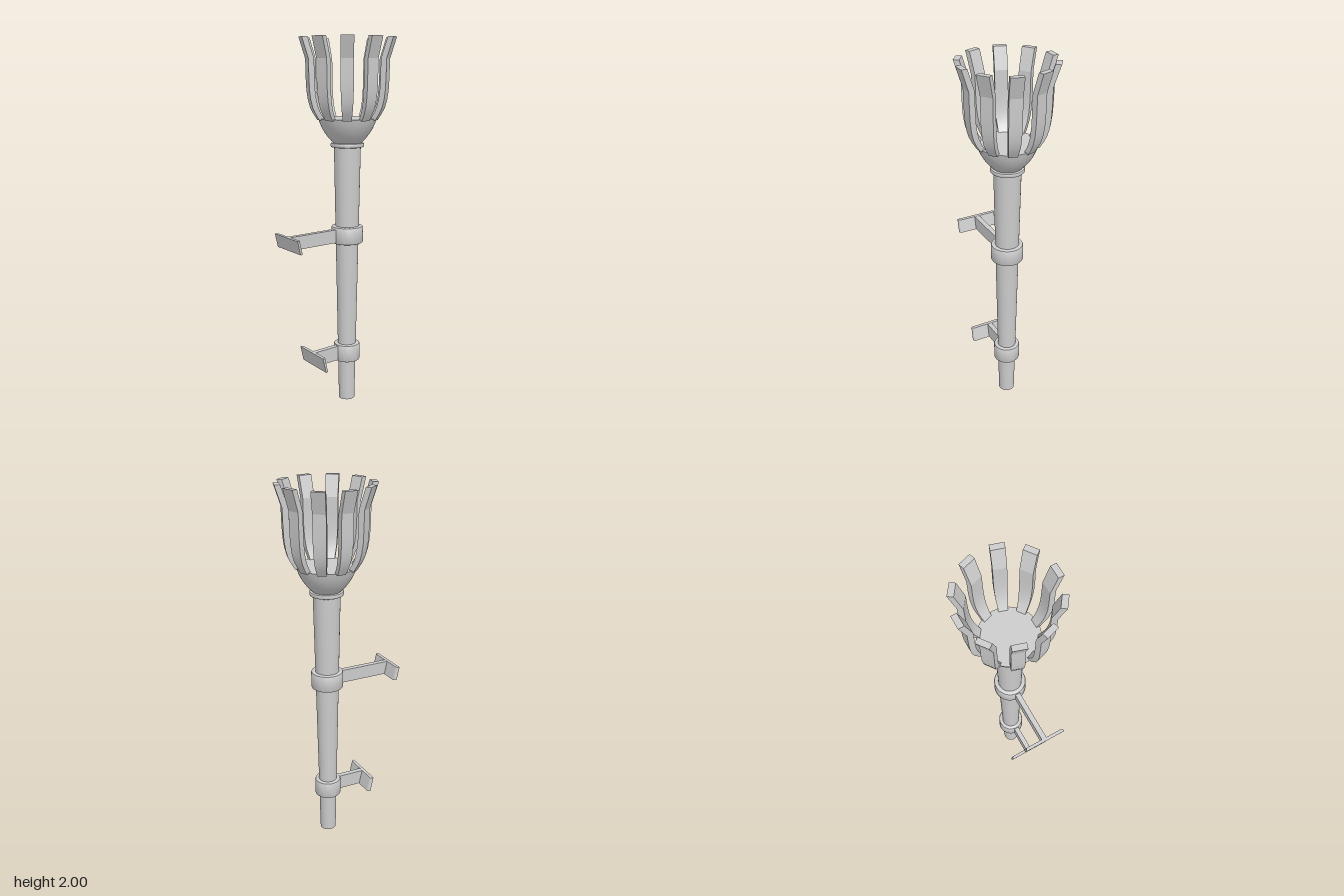
import * as THREE from 'three';
import { toCreasedNormals } from 'three/addons/utils/BufferGeometryUtils.js';

const material = new THREE.MeshStandardMaterial({ color: 0xcccccc });
const AXIS_X = 0.067;

function part(name, geometry, crease = 0.5) {
  const mesh = new THREE.Mesh(toCreasedNormals(geometry, crease), material);
  mesh.name = name;
  return mesh;
}

// Solid of revolution from [radius, height] pairs, bottom to top
function turned(name, profile) {
  return part(name, new THREE.LatheGeometry(profile.map(([r, y]) => new THREE.Vector2(r, y)), 48));
}

// Band with softly bevelled rims
function band(name, r, y0, y1, b) {
  return turned(name, [[0, y0], [r - b, y0], [r - b * 0.3, y0 + b * 0.3], [r, y0 + b],
    [r, y1 - b], [r - b * 0.3, y1 - b * 0.3], [r - b, y1], [0, y1]]);
}

// Curved prong: [inner radius, height, width] sections, flared at the tip
const PRONG = [[0.13, 1.575, 0.046], [0.152, 1.61, 0.052], [0.167, 1.64, 0.058], [0.178, 1.68, 0.062],
  [0.185, 1.73, 0.065], [0.188, 1.79, 0.066], [0.19, 1.89, 0.066], [0.225, 2, 0.068]];

function prongGeometry() {
  const n = PRONG.length - 1;
  const geometry = new THREE.BoxGeometry(1, 1, 1, 1, n, 1);
  const pos = geometry.attributes.position;
  for (let i = 0; i < pos.count; i++) {
    const [r, y, w] = PRONG[Math.round((pos.getY(i) + 0.5) * n)];
    pos.setXYZ(i, r + (pos.getX(i) + 0.5) * 0.03, y, pos.getZ(i) * w);
  }
  return geometry;
}

// Wall bracket: slanted plate with rounded back corners and a flat arm
function bracket(name, tipX, y0, y1, slant) {
  const group = new THREE.Group();
  group.name = name;
  const h = 0.114, t = 0.018, r = 0.015;
  const outline = new THREE.Shape();
  outline.moveTo(0, -h);
  outline.lineTo(t - r, -h);
  outline.quadraticCurveTo(t, -h, t, -h + r);
  outline.lineTo(t, h - r);
  outline.quadraticCurveTo(t, h, t - r, h);
  outline.lineTo(0, h);
  const plate = new THREE.ExtrudeGeometry(outline, { depth: y1 - y0, bevelEnabled: false, curveSegments: 6 });
  plate.rotateX(-Math.PI / 2);
  const pos = plate.attributes.position;
  for (let i = 0; i < pos.count; i++) {
    const y = pos.getY(i);
    pos.setXYZ(i, pos.getX(i) + tipX + slant * (1 - y / (y1 - y0)), y + y0, pos.getZ(i));
  }
  group.add(part('wallPlate', plate));

  const side = new THREE.Shape([
    [tipX + slant + 0.01, y0 + 0.001], [AXIS_X - 0.03, y0 + 0.008],
    [AXIS_X - 0.03, y1 + 0.006], [tipX + 0.01, y1 - 0.001],
  ].map(([x, y]) => new THREE.Vector2(x, y)));
  const arm = new THREE.ExtrudeGeometry(side, { depth: 0.028, bevelEnabled: false });
  arm.translate(0, 0, -0.014);
  group.add(part('bracketArm', arm));
  return group;
}

export function createModel() {
  const model = new THREE.Group();
  model.name = 'wallTorch';

  const torch = new THREE.Group();
  torch.name = 'torch';
  torch.position.x = AXIS_X;
  model.add(torch);

  // Tapered handle and its bands
  torch.add(turned('shaft', [[0, 0], [0.044, 0], [0.072, 1.44], [0, 1.44]]));
  torch.add(band('lowerBand', 0.072, 0.232, 0.33, 0.008));
  torch.add(band('upperBand', 0.086, 0.908, 1.002, 0.008));
  torch.add(band('collar', 0.089, 1.43, 1.453, 0.006));

  // Cup with a flat top
  torch.add(turned('cup', [[0, 1.445], [0.066, 1.445], [0.085, 1.462], [0.104, 1.483], [0.121, 1.506],
    [0.136, 1.532], [0.147, 1.557], [0.155, 1.583], [0, 1.583]]));

  // Ring of ten prongs
  for (let i = 0; i < 10; i++) {
    const prong = part('prong', prongGeometry(), 0.25);
    prong.rotation.y = (i + 0.5) * Math.PI / 5;
    torch.add(prong);
  }

  // Wall brackets
  model.add(bracket('upperBracket', -0.322, 0.91, 0.984, 0.017));
  model.add(bracket('lowerBracket', -0.17, 0.235, 0.318, 0.019));
  return model;
}
